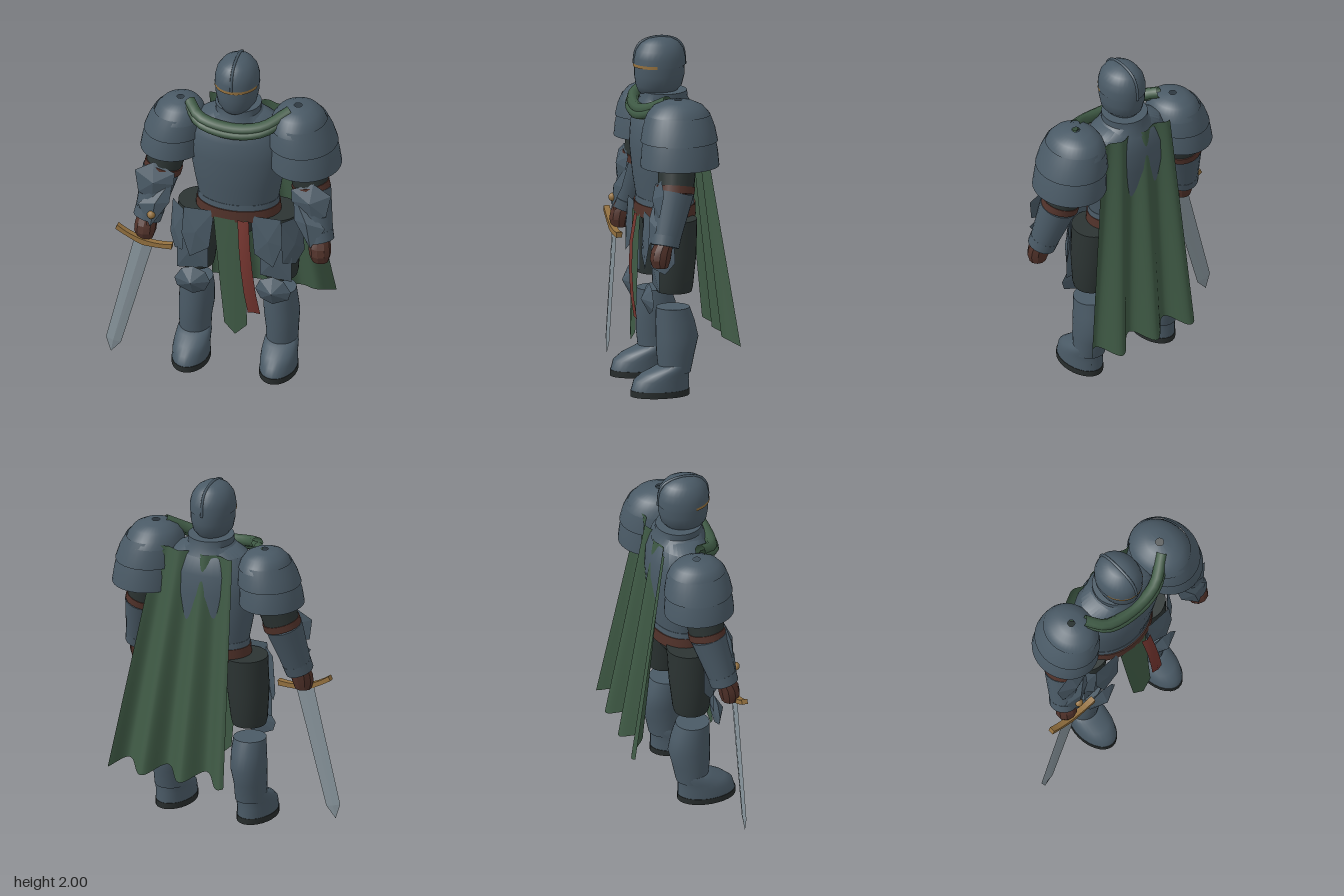
import * as THREE from 'three';
import { toCreasedNormals } from 'three/addons/utils/BufferGeometryUtils.js';
import { ConvexGeometry } from 'three/addons/geometries/ConvexGeometry.js';

const V = (x, y, z) => new THREE.Vector3(x, y, z);
const lerp = THREE.MathUtils.lerp;

function makeMaterial(name, color) {
  const m = new THREE.MeshStandardMaterial({ color, side: THREE.DoubleSide });
  m.name = name;
  return m;
}

export function createModel() {
  const steel = makeMaterial('steel', 0x4a5a66);
  const cloth = makeMaterial('green cloth', 0x3f5a45);
  const dark = makeMaterial('dark padding', 0x2c3433);
  const leather = makeMaterial('brown leather', 0x51322a);
  const red = makeMaterial('red cloth', 0x74352f);
  const gold = makeMaterial('brass', 0x94713f);
  const silver = makeMaterial('blade steel', 0x87949b);
  const soleMat = makeMaterial('sole', 0x272c2c);

  const model = new THREE.Group();
  model.name = 'armouredKnight';
  const body = new THREE.Group();
  body.name = 'body';
  body.position.x = 0.07;
  model.add(body);

  function add(name, geo, mat, parent = body) {
    const mesh = new THREE.Mesh(geo, mat);
    mesh.name = name;
    parent.add(mesh);
    return mesh;
  }

  // Elliptical rings, top to bottom: [y, centre x, centre z, radius x, radius z]
  function loft(name, mat, rings, { seg = 28, open = false, crease = 0.6 } = {}) {
    const n = rings.length - 1;
    const geo = new THREE.CylinderGeometry(1, 1, 1, seg, n, open);
    const p = geo.attributes.position;
    for (let i = 0; i < p.count; i++) {
      const [y, cx, cz, rx, rz] = rings[Math.round((0.5 - p.getY(i)) * n)];
      p.setXYZ(i, cx + p.getX(i) * rx, y, cz + p.getZ(i) * rz);
    }
    return add(name, toCreasedNormals(geo, crease), mat);
  }

  // Tapered cylinder between two points
  function limb(name, mat, a, b, ra, rb, seg = 20) {
    const mesh = add(name, new THREE.CylinderGeometry(rb, ra, a.distanceTo(b), seg), mat);
    mesh.position.copy(a).lerp(b, 0.5);
    mesh.quaternion.setFromUnitVectors(V(0, 1, 0), b.clone().sub(a).normalize());
    return mesh;
  }

  // Faceted plate: outline [x, y], leaning by tilt, with a raised middle
  function plate(name, outline, side, z, bulge, tilt = 0) {
    const cx = outline.reduce((s, q) => s + q[0], 0) / outline.length;
    const cy = outline.reduce((s, q) => s + q[1], 0) / outline.length;
    const pts = outline.map(([x, y]) => V(side * (x - cx), y - cy, tilt * (cy - y)));
    pts.push(V(0, 0, bulge), V(0, 0, -0.012));
    const mesh = add(name, new ConvexGeometry(pts), steel);
    mesh.position.set(side * cx, cy, z);
    return mesh;
  }

  // Hanging strip: rows [y, centre x, z, width], with a pointed end and a middle fold
  function ribbon(name, mat, rows, tip, fold) {
    const n = rows.length - 1;
    const geo = new THREE.PlaneGeometry(1, 1, 2, n);
    const p = geo.attributes.position;
    for (let i = 0; i < p.count; i++) {
      const k = Math.round((0.5 - p.getY(i)) * n), u = p.getX(i);
      const [y, cx, z, w] = rows[k], mid = Math.abs(u) < 0.1;
      p.setXYZ(i, cx + u * w, y - (mid && k === n ? tip : 0), z + (mid ? fold : 0));
    }
    geo.computeVertexNormals();
    return add(name, geo, mat);
  }

  // Torso, neck guard and belt
  loft('breastplate', steel, [[1.64, 0, 0.05, 0.14, 0.12], [1.6, 0, 0.05, 0.22, 0.15],
    [1.5, 0, 0.053, 0.275, 0.178], [1.38, 0, 0.053, 0.28, 0.185], [1.2, 0, 0.05, 0.25, 0.17],
    [1.09, 0, 0.045, 0.23, 0.158], [1.04, 0, 0.045, 0.222, 0.15]], { seg: 40 });
  loft('waistPlate', steel, [[1.09, 0, 0.045, 0.232, 0.16], [1.04, 0, 0.045, 0.235, 0.162]], { seg: 40 });
  loft('neckGuard', steel, [[1.69, 0, 0.05, 0.13, 0.13], [1.65, 0, 0.05, 0.128, 0.135],
    [1.6, 0, 0.05, 0.18, 0.155]]);
  loft('belt', leather, [[1.055, 0, 0.045, 0.238, 0.168], [0.985, 0, 0.045, 0.244, 0.17]], { seg: 40 });
  loft('hips', dark, [[1.0, 0, 0.045, 0.22, 0.13], [0.92, 0, 0.045, 0.2, 0.12], [0.86, 0, 0.045, 0.1, 0.08]]);

  // Helmet
  loft('helmetFace', steel, [[1.845, 0, 0.075, 0.122, 0.142], [1.78, 0, 0.075, 0.121, 0.142],
    [1.72, 0, 0.078, 0.108, 0.13], [1.685, 0, 0.085, 0.08, 0.108], [1.665, 0, 0.095, 0.045, 0.075]]);
  loft('helmetDome', steel, [[1.996, 0, 0.075, 0.004, 0.004], [1.988, 0, 0.075, 0.05, 0.065],
    [1.965, 0, 0.075, 0.087, 0.107], [1.925, 0, 0.075, 0.114, 0.136], [1.88, 0, 0.075, 0.125, 0.146],
    [1.835, 0, 0.075, 0.126, 0.147]]);
  const slit = add('visorTrim', new THREE.CylinderGeometry(0.128, 0.128, 0.017, 24, 1, true, -1.3, 2.6), gold);
  slit.position.set(0, 1.84, 0.075);
  slit.scale.z = 1.16;
  const crestLine = new THREE.CatmullRomCurve3([V(0, 1.85, 0.222), V(0, 1.925, 0.21), V(0, 1.968, 0.18),
    V(0, 1.991, 0.12), V(0, 1.993, 0.04), V(0, 1.968, -0.03), V(0, 1.925, -0.061), V(0, 1.83, -0.073)]);
  add('helmetCrest', new THREE.TubeGeometry(crestLine, 32, 0.008, 6), steel);

  // Scarf across the collarbones
  const scarf = [[-0.27, 1.645, 0.1], [-0.19, 1.605, 0.19], [0, 1.578, 0.222], [0.17, 1.6, 0.2], [0.31, 1.672, 0.11]];
  for (const [dy, dz, r] of [[0.022, -0.012, 0.033], [-0.008, 0.005, 0.026]]) {
    const line = new THREE.CatmullRomCurve3(scarf.map(([x, y, z]) => V(x, y + dy, z + dz)));
    add('scarf', new THREE.TubeGeometry(line, 14, r, 8), cloth);
  }

  // Cape with three folds that deepen towards the hem
  const capeGeo = new THREE.PlaneGeometry(1, 1, 54, 20);
  const cp = capeGeo.attributes.position;
  for (let i = 0; i < cp.count; i++) {
    const u = cp.getX(i) + 0.5, t = 0.5 - cp.getY(i);
    const wave = Math.cos(Math.PI * 6 * (u - 0.04));
    cp.setXYZ(i, lerp(lerp(-0.205, -0.238, t), lerp(0.265, 0.48, t), u),
      lerp(1.62, 0.325 - 0.025 * wave, t), -0.09 - 0.153 * t - (0.014 + 0.038 * t) * wave);
  }
  capeGeo.computeVertexNormals();
  add('cape', capeGeo, cloth);

  // Front cloth and sash
  ribbon('frontCloth', cloth, [[1.0, -0.01, 0.205, 0.19], [0.8, 0, 0.215, 0.17],
    [0.55, 0.015, 0.225, 0.15], [0.33, 0.03, 0.235, 0.13]], 0.06, 0.012);
  ribbon('sash', red, [[1.01, 0.07, 0.225, 0.065], [0.85, 0.085, 0.255, 0.065], [0.7, 0.1, 0.262, 0.068],
    [0.55, 0.118, 0.258, 0.07], [0.42, 0.138, 0.243, 0.072]], -0.01, 0.01);

  for (const s of [-1, 1]) {
    const side = s < 0 ? 'right' : 'left';

    // Shoulder guard: three overlapping shells, larger on the left
    const k = s < 0 ? 1 : 1.12, ky = s < 0 ? 1 : 1.16;
    const shells = [
      [[1.66, 0.335, 0.02, 0.02], [1.652, 0.335, 0.065, 0.075], [1.63, 0.336, 0.107, 0.125],
        [1.597, 0.338, 0.132, 0.155], [1.56, 0.34, 0.145, 0.172]],
      [[1.59, 0.345, 0.136, 0.16], [1.53, 0.355, 0.16, 0.182], [1.465, 0.365, 0.174, 0.194]],
      [[1.49, 0.366, 0.158, 0.178], [1.42, 0.374, 0.172, 0.192], [1.345, 0.38, 0.179, 0.198]]];
    for (const rings of shells) {
      loft(side + 'ShoulderGuard', steel, rings.map(([y, x, rx, rz]) =>
        [1.345 + (y - 1.345) * ky, s * (x + (k - 1) * 0.06), 0.047, rx * k, rz * k]), { seg: 36, open: true });
    }

    // Arm
    const elbow = V(s * 0.43, 1.2, 0.08), wrist = V(s * 0.495, 0.92, 0.155);
    limb(side + 'UpperArm', dark, V(s * 0.36, 1.48, 0.05), elbow, 0.115, 0.1);
    limb(side + 'ArmStrap', leather, V(s * 0.42, 1.235, 0.078), V(s * 0.43, 1.195, 0.083), 0.108, 0.108);
    limb(side + 'Forearm', steel, V(s * 0.434, 1.2, 0.085), wrist, 0.106, 0.076);
    limb(side + 'WristBand', steel, V(s * 0.484, 0.965, 0.145), V(s * 0.498, 0.91, 0.158), 0.083, 0.08);
    loft(side + 'Glove', leather, [[0.93, s * 0.495, 0.16, 0.058, 0.055], [0.885, s * 0.5, 0.178, 0.063, 0.06],
      [0.84, s * 0.503, 0.185, 0.062, 0.06], [0.795, s * 0.505, 0.185, 0.048, 0.045]], { seg: 10, crease: 0.3 });
    plate(side + 'ElbowPlate', [[0.46, 1.28], [0.335, 1.23], [0.34, 1.16], [0.46, 1.06], [0.54, 1.09], [0.565, 1.22]],
      s, 0.185, 0.035, 0.15);
    plate(side + 'ForearmPlate', [[0.345, 1.2], [0.36, 1.05], [0.46, 0.9], [0.54, 1.02], [0.47, 1.08]],
      s, 0.205, 0.03, 0.25);

    // Thigh with hanging plates
    loft(side + 'Thigh', dark, [[1.0, s * 0.22, 0.04, 0.125, 0.128], [0.8, s * 0.235, 0.042, 0.118, 0.122],
      [0.62, s * 0.24, 0.045, 0.102, 0.105], [0.59, s * 0.24, 0.045, 0.095, 0.098]]);
    plate(side + 'ThighPlate', [[0.33, 0.88], [0.15, 0.88], [0.15, 0.62], [0.33, 0.6]], s, 0.15, 0.02);
    plate(side + 'FrontTasset', [[0.28, 1.025], [0.105, 1.025], [0.13, 0.79], [0.24, 0.72], [0.29, 0.86]],
      s, 0.2, 0.015, 0.08);
    const outer = plate(side + 'SideTasset', [[0.25, 1.0], [0.4, 1.0], [0.41, 0.78], [0.35, 0.71], [0.26, 0.74]],
      s, 0.13, 0.018, 0.05);
    outer.rotation.y = s * 0.85;

    // Knee plate, shin and boot
    plate(side + 'KneePlate', [[0.335, 0.55], [0.295, 0.615], [0.23, 0.638], [0.157, 0.61], [0.13, 0.55],
      [0.16, 0.49], [0.23, 0.46], [0.32, 0.5]], s, 0.185, 0.05);
    loft(side + 'Shin', steel, [[0.5, s * 0.24, 0.053, 0.092, 0.095], [0.42, s * 0.24, 0.04, 0.098, 0.11],
      [0.33, s * 0.245, 0.03, 0.1, 0.12], [0.24, s * 0.25, 0.04, 0.092, 0.108], [0.13, s * 0.25, 0.045, 0.088, 0.09]]);
    loft(side + 'Boot', steel, [[0.175, s * 0.25, 0.046, 0.09, 0.085], [0.155, s * 0.25, 0.064, 0.097, 0.102],
      [0.125, s * 0.251, 0.1, 0.1, 0.136], [0.09, s * 0.252, 0.123, 0.102, 0.157],
      [0.035, s * 0.252, 0.13, 0.103, 0.165]], { crease: 0.9 });
    loft(side + 'Sole', soleMat, [[0.035, s * 0.252, 0.13, 0.105, 0.168], [0, s * 0.252, 0.13, 0.105, 0.168]]);
  }

  // Sword held in the right hand
  const sword = new THREE.Group();
  sword.name = 'sword';
  sword.position.set(-0.43, 0.8, 0.215);
  sword.rotation.z = -0.25;
  model.add(sword);
  const bladePts = [];
  for (const [y, w] of [[0, 0.056], [-0.72, 0.045]]) {
    bladePts.push(V(-w, y, 0), V(w, y, 0), V(0, y, 0.009), V(0, y, -0.009));
  }
  bladePts.push(V(0.005, -0.8, 0));
  add('blade', new ConvexGeometry(bladePts), silver, sword);
  const guard = new THREE.Shape();
  guard.moveTo(-0.165, 0.04);
  guard.quadraticCurveTo(0, -0.03, 0.16, 0.04);
  guard.lineTo(0.165, 0.008);
  guard.quadraticCurveTo(0.06, -0.022, 0, -0.03);
  guard.quadraticCurveTo(-0.06, -0.022, -0.17, 0.012);
  const guardGeo = new THREE.ExtrudeGeometry(guard, { depth: 0.034, bevelEnabled: false });
  add('crossGuard', guardGeo, gold, sword).position.set(0, 0, -0.006);
  add('grip', new THREE.CylinderGeometry(0.015, 0.015, 0.18, 10), leather, sword).position.y = 0.09;
  add('pommel', new THREE.IcosahedronGeometry(0.024, 1), gold, sword).position.set(0, 0.18, 0.022);

  return model;
}
